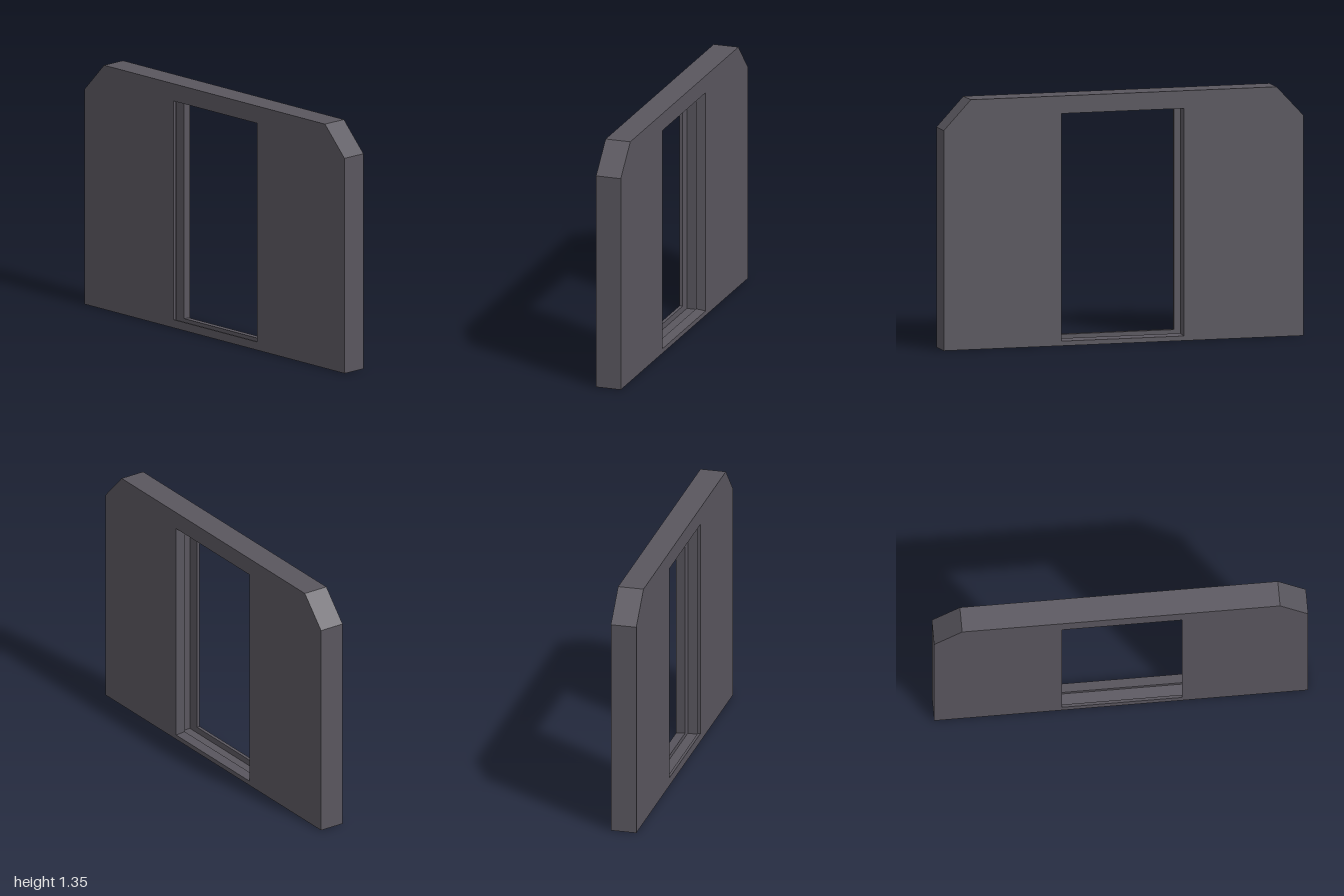
import * as THREE from 'three';

const HALF_T = 0.07; // half the wall thickness

// Joins matching closed loops [u, y, w] with flat quads
function loft(loops) {
  const pos = [];
  for (let i = 0; i < loops.length - 1; i++) {
    const p = loops[i], q = loops[i + 1];
    for (let j = 0; j < p.length; j++) {
      const k = (j + 1) % p.length;
      pos.push(...p[j], ...p[k], ...q[k], ...p[j], ...q[k], ...q[j]);
    }
  }
  const g = new THREE.BufferGeometry();
  g.setAttribute('position', new THREE.Float32BufferAttribute(pos, 3));
  g.computeVertexNormals();
  return g;
}

// Rectangular loop of the doorway at depth w
const doorway = (w, half, y0, y1) => {
  const c = -0.005;
  return [[c - half, y0, w], [c + half, y0, w], [c + half, y1, w], [c - half, y1, w]];
};

const OUTLINE = [[-1, 0], [1, 0], [1, 1.185], [0.85, 1.345], [-0.85, 1.345], [-1, 1.185]];

// Wall face with the doorway cut out
function faceGeometry(loop, w) {
  const shape = new THREE.Shape(OUTLINE.map(([u, y]) => new THREE.Vector2(u, y)));
  shape.holes.push(new THREE.Path(loop.map(([u, y]) => new THREE.Vector2(u, y))));
  const g = new THREE.ShapeGeometry(shape);
  if (w < 0) { // turn the far face outward
    const idx = g.index.array;
    for (let i = 0; i < idx.length; i += 3) [idx[i], idx[i + 1]] = [idx[i + 1], idx[i]];
    g.computeVertexNormals();
  }
  return g.translate(0, 0, w);
}

export function createModel() {
  const stone = new THREE.MeshStandardMaterial({ color: 0x59565e });
  stone.name = 'dark grey';
  const group = new THREE.Group();
  group.name = 'doorwayWall';

  const add = (name, geometry) => {
    geometry.rotateY(Math.PI / 2); // face the doorway along x
    const mesh = new THREE.Mesh(geometry, stone);
    mesh.name = name;
    group.add(mesh);
  };

  // Tapered door reveal with a deep groove for the sliding panel
  const reveal = [
    doorway(HALF_T, 0.34, 0.025, 1.25),
    doorway(0.018, 0.333, 0.033, 1.25),
    doorway(0.018, 0.388, 0.01, 1.297),
    doorway(-0.054, 0.388, 0.01, 1.297),
    doorway(-0.054, 0.322, 0.043, 1.25),
    doorway(-HALF_T, 0.32, 0.045, 1.25),
  ];
  add('doorReveal', loft(reveal));

  // Both broad faces and the outer rim with clipped top corners
  add('wallFaceLeft', faceGeometry(reveal[0], HALF_T));
  add('wallFaceRight', faceGeometry(reveal[reveal.length - 1], -HALF_T));
  add('wallRim', loft([-HALF_T, HALF_T].map((w) => OUTLINE.map(([u, y]) => [u, y, w]))));

  return group;
}
